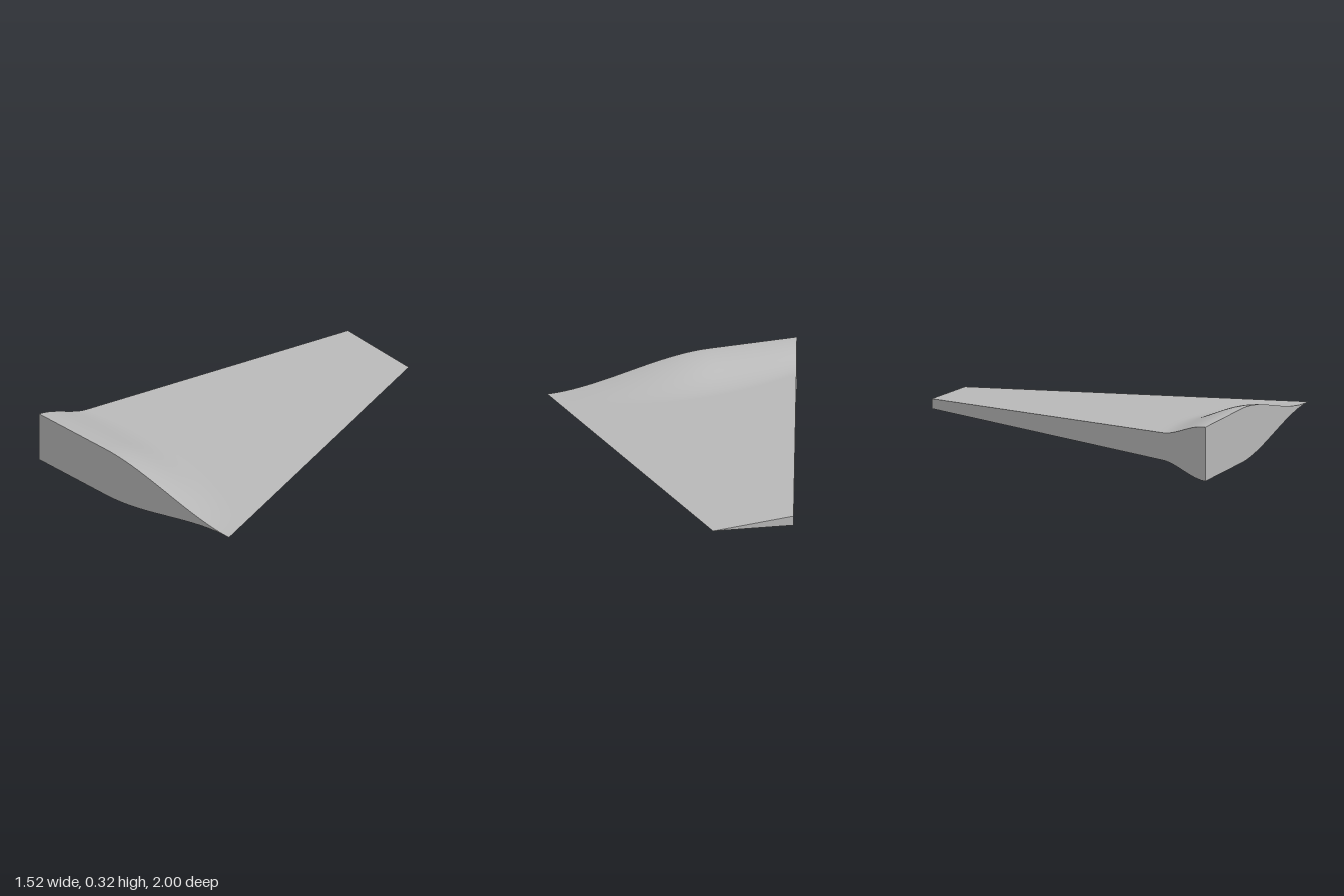
import * as THREE from 'three';

const MID = 0.163; // height of the chord plane
const U = 48, V = 40;

const smooth = (a, b, t) => THREE.MathUtils.smoothstep(t, a, b);

// Half thickness: a plain wedge that swells into a thick root fairing
function halfThickness(u, z, chord) {
  const wedge = 0.0605 * chord * (1 - u);
  const root = 0.162 * (1 - smooth(0.35, 1, u));
  const start = 0.69 - 0.446 * u + 0.596 * u * u;
  return THREE.MathUtils.lerp(wedge, root, smooth(start, 1, z));
}

// Point on the fin: u runs from thick to sharp edge, z from tip to root, side is +1 top, -1 bottom
function finPoint(u, z, side) {
  const s = (z + 1) / 2;
  const x0 = THREE.MathUtils.lerp(-0.16, -0.76, s);
  const x1 = THREE.MathUtils.lerp(0.33, 0.76, s);
  const y = MID + side * halfThickness(u, z, x1 - x0);
  return [THREE.MathUtils.lerp(x0, x1, u), y, z];
}

// Rows are dense over the fairing and sparse along the straight panel
const rowZ = (v) => (v < 0.2 ? -1 + (v / 0.2) * 1.53 : 0.53 + ((v - 0.2) / 0.8) * 0.47);

// Grid surface from a rule f(a, b); facing is a cross b unless flipped
function patch(name, na, nb, f, material, flip) {
  const pos = [], index = [];
  for (let j = 0; j <= nb; j++)
    for (let i = 0; i <= na; i++) pos.push(...f(i / na, j / nb));
  for (let j = 0; j < nb; j++)
    for (let i = 0; i < na; i++) {
      const a = j * (na + 1) + i, b = a + 1, c = b + na + 1, d = c - 1;
      if (flip) index.push(a, c, b, a, d, c);
      else index.push(a, b, c, a, c, d);
    }
  const geometry = new THREE.BufferGeometry();
  geometry.setAttribute('position', new THREE.Float32BufferAttribute(pos, 3));
  geometry.setIndex(index);
  geometry.computeVertexNormals();
  const mesh = new THREE.Mesh(geometry, material);
  mesh.name = name;
  return mesh;
}

export function createModel() {
  const fin = new THREE.Group();
  fin.name = 'fin';
  const grey = new THREE.MeshStandardMaterial({ color: 0xb8b8b8 });
  grey.name = 'plain grey';

  fin.add(
    // Faired upper and lower skins
    patch('upperSkin', U, V, (u, v) => finPoint(u, rowZ(v), 1), grey, true),
    patch('lowerSkin', U, V, (u, v) => finPoint(u, rowZ(v), -1), grey, false),
    // Flat end caps at root and tip
    patch('rootFace', U, 1, (u, b) => finPoint(u, 1, b * 2 - 1), grey, false),
    patch('tipFace', U, 1, (u, b) => finPoint(u, -1, b * 2 - 1), grey, true),
    // Blunt edge on the thick side
    patch('bluntEdge', V, 1, (v, b) => finPoint(0, rowZ(v), b * 2 - 1), grey, false)
  );
  return fin;
}
